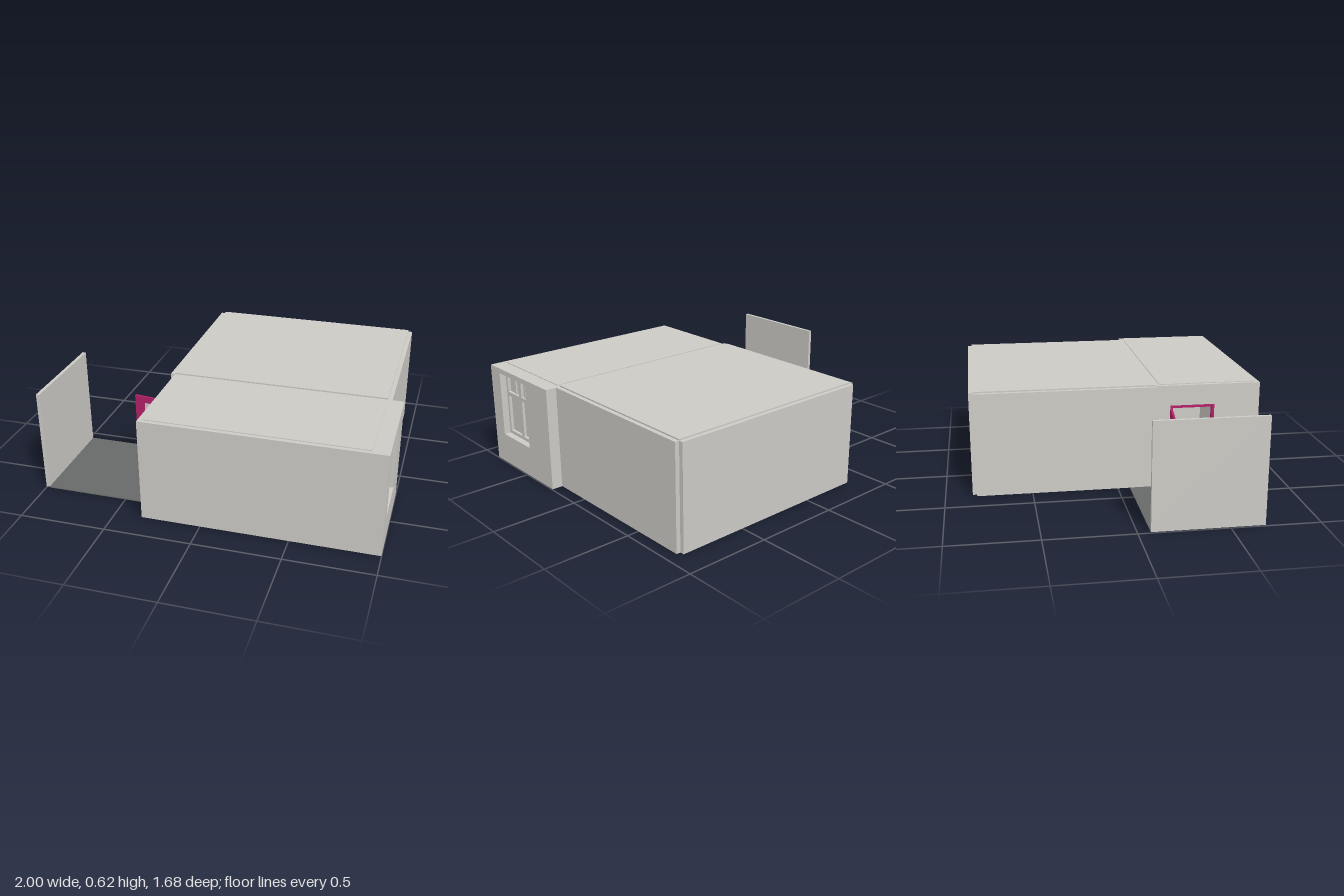
import * as THREE from 'three';

const mat = (name, color) => Object.assign(new THREE.MeshStandardMaterial({ color }), { name });

export function createModel() {
  const model = new THREE.Group();
  const plaster = mat('plaster', 0xcccac5);
  const porchGrey = mat('porch slab grey', 0x686a69);
  const floorBrown = mat('floor taupe', 0x88837a);
  const magenta = mat('door magenta', 0xb52069);
  const metal = mat('handle metal', 0x55565a);

  // Box given by its minimum and maximum corners
  function box(name, x0, x1, y0, y1, z0, z1, material, parent = model) {
    const mesh = new THREE.Mesh(new THREE.BoxGeometry(x1 - x0, y1 - y0, z1 - z0), material);
    mesh.position.set((x0 + x1) / 2, (y0 + y1) / 2, (z0 + z1) / 2);
    mesh.name = name;
    parent.add(mesh);
    return mesh;
  }

  // Upright panel in the XY plane with one rectangular opening [u0, u1, v0, v1]
  function panel(name, u0, u1, v0, v1, hole, depth, material, parent = model) {
    const rect = (P, a, b, c, d) => {
      const p = new P();
      p.moveTo(a, c); p.lineTo(b, c); p.lineTo(b, d); p.lineTo(a, d); p.closePath();
      return p;
    };
    const shape = rect(THREE.Shape, u0, u1, v0, v1);
    shape.holes.push(rect(THREE.Path, ...hole));
    const mesh = new THREE.Mesh(new THREE.ExtrudeGeometry(shape, { depth, bevelEnabled: false }), material);
    mesh.name = name;
    parent.add(mesh);
    return mesh;
  }

  const H = 0.61;

  // Back room
  box('backRoomRearWall', -0.34, 0.91, 0.005, H, -0.845, -0.82, plaster);
  box('backRoomRightWall', -0.365, -0.34, 0.005, H, -0.82, 0.22, plaster);
  box('backRoomLeftWall', 0.91, 0.935, 0.005, H, -0.82, 0.22, plaster);
  box('backRoomFloor', -0.34, 0.91, 0, 0.005, -0.82, 0.22, floorBrown);
  box('backRoomRoof', -0.34, 0.91, H, 0.618, -0.82, 0.22, plaster);

  // Partition with an open passage between the rooms
  box('partitionEast', 0.2, 0.91, 0.005, H, 0.22, 0.245, plaster);
  box('partitionWest', -0.315, -0.1, 0.005, H, 0.22, 0.245, plaster);
  box('partitionHeader', -0.1, 0.2, 0.475, H, 0.22, 0.245, plaster);

  // Front room
  box('frontWall', -0.34, 1, 0.005, H, 0.815, 0.84, plaster);
  box('frontRoomFloor', -0.315, 0.91, 0, 0.005, 0.245, 0.815, floorBrown);
  box('frontRoomRoof', -0.315, 0.91, H - 0.005, 0.614, 0.245, 0.815, plaster);

  // Thick window wall; its panel plane is turned to face +x, so u = -z
  const windowWall = panel('windowWall', -0.815, -0.22, 0.005, H, [-0.74, -0.45, 0.19, 0.58], 0.09, plaster);
  windowWall.rotation.y = Math.PI / 2;
  windowWall.position.x = 0.91;

  // Recessed window: frame, bars and panes
  const win = new THREE.Group();
  win.name = 'window';
  model.add(win);
  const frame = panel('windowFrame', -0.74, -0.45, 0.19, 0.58, [-0.722, -0.468, 0.21, 0.562], 0.035, plaster, win);
  frame.rotation.y = Math.PI / 2;
  frame.position.x = 0.925;
  box('windowMullion', 0.927, 0.958, 0.21, 0.562, 0.575, 0.605, plaster, win);
  box('windowTransom', 0.927, 0.96, 0.435, 0.46, 0.468, 0.722, plaster, win);
  for (const z of [0.545, 0.648]) box('upperSashBar', 0.932, 0.952, 0.46, 0.562, z - 0.005, z + 0.005, plaster, win);
  box('windowPanes', 0.938, 0.942, 0.21, 0.562, 0.468, 0.722, plaster, win);

  // Wall on the porch side, with the doorway
  box('doorWallBack', -0.34, -0.315, 0.005, H, 0.22, 0.31, plaster);
  box('doorWallFront', -0.34, -0.315, 0.005, H, 0.57, 0.815, plaster);
  box('doorWallHeader', -0.34, -0.315, 0.49, H, 0.31, 0.57, plaster);
  for (const z of [0.31, 0.555]) box('doorJamb', -0.342, -0.313, 0.005, 0.49, z, z + 0.015, magenta);
  box('doorHead', -0.342, -0.313, 0.475, 0.49, 0.325, 0.555, magenta);

  // Open door, hinged on the back jamb
  const door = new THREE.Group();
  door.name = 'door';
  door.position.set(-0.34, 0, 0.314);
  door.rotation.y = Math.PI - 0.13;
  model.add(door);
  const leaf = panel('doorLeaf', 0, 0.233, 0.008, 0.475, [0.07, 0.172, 0.205, 0.435], 0.012, magenta, door);
  leaf.position.z = -0.006;
  box('doorPane', 0.07, 0.172, 0.205, 0.435, -0.002, 0.002, plaster, door);
  for (const s of [-1, 1]) {
    const plate = box('handlePlate', 0.206, 0.218, 0.2, 0.255, -0.002, 0.002, metal, door);
    plate.position.z = s * 0.008;
    const stem = new THREE.Mesh(new THREE.CylinderGeometry(0.004, 0.004, 0.016, 10), metal);
    stem.name = 'handleStem';
    stem.rotation.x = Math.PI / 2;
    stem.position.set(0.212, 0.232, s * 0.016);
    door.add(stem);
    const lever = box('handleLever', 0.178, 0.216, 0.228, 0.236, -0.003, 0.003, metal, door);
    lever.position.z = s * 0.022;
  }

  // Porch slab and its end wall
  box('porchSlabBack', -0.98, -0.365, 0, 0.006, 0.07, 0.22, porchGrey);
  box('porchSlab', -0.98, -0.34, 0, 0.006, 0.22, 0.69, porchGrey);
  box('porchEndWall', -1, -0.98, 0.005, H, 0.07, 0.69, plaster);

  return model;
}
